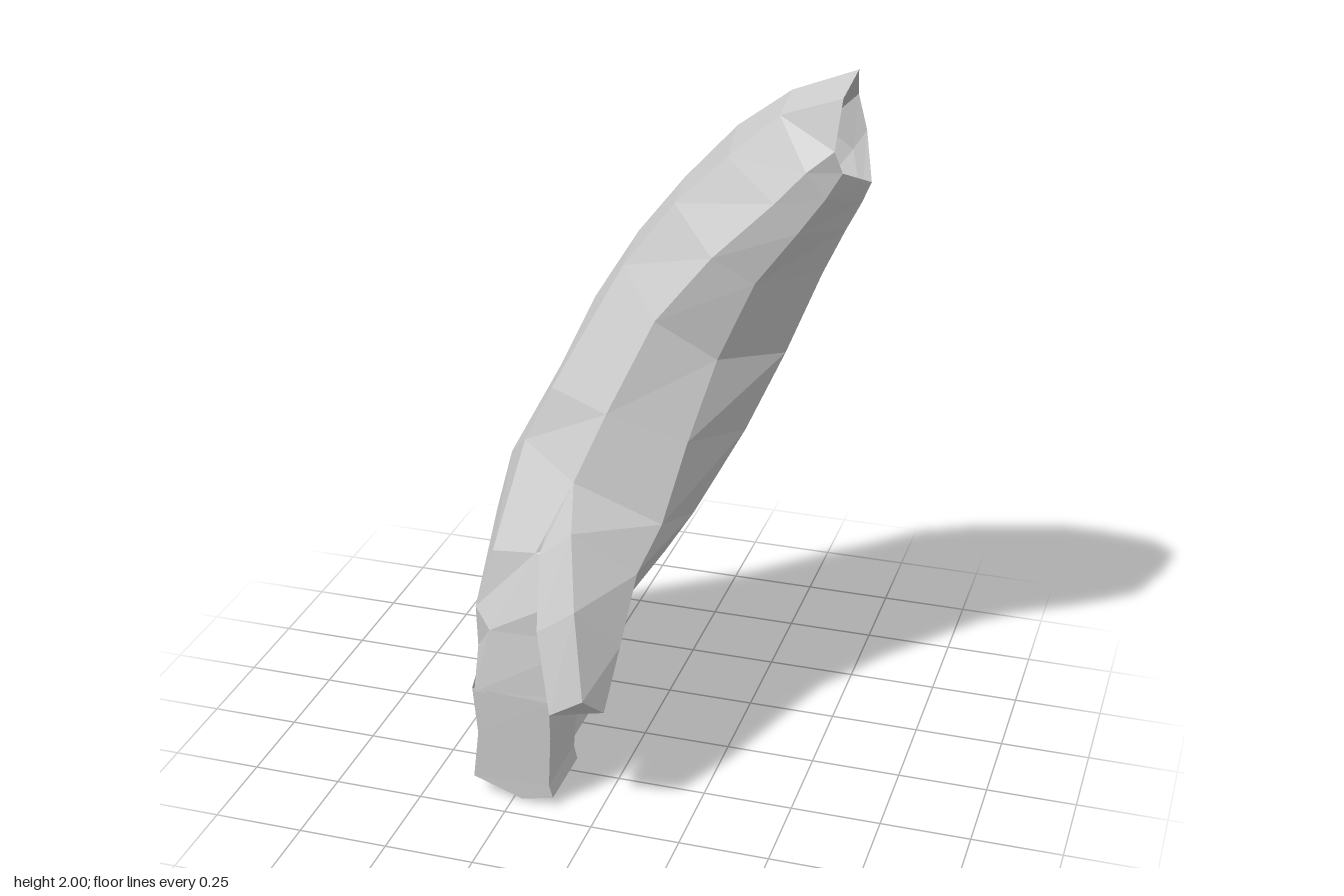
import * as THREE from 'three';

const material = new THREE.MeshStandardMaterial({
  color: 0xcccccc, flatShading: true, side: THREE.DoubleSide,
});

// Skins rings listed from bottom to top (each counterclockwise seen from above).
function loft(name, rings, { capBottom = false } = {}) {
  const n = rings[0].length;
  const index = [];
  for (let r = 0; r < rings.length - 1; r++) {
    for (let j = 0; j < n; j++) {
      const a = r * n + j, b = r * n + (j + 1) % n;
      index.push(a, b, b + n, a, b + n, a + n);
    }
  }
  for (let j = 1; capBottom && j < n - 1; j++) index.push(0, j + 1, j);
  const geometry = new THREE.BufferGeometry();
  geometry.setAttribute('position', new THREE.Float32BufferAttribute(rings.flat(2), 3));
  geometry.setIndex(index);
  geometry.computeVertexNormals();
  const mesh = new THREE.Mesh(geometry, material);
  mesh.name = name;
  return mesh;
}

// Ring order: front, front inner, inner, back inner, back, outer back, outer front
const wrist = [
  [-0.13, 0.9, 0.23], [0.1, 0.78, 0.17], [0.14, 0.74, 0], [0, 0.76, -0.43],
  [-0.2, 0.88, -0.49], [-0.36, 0.98, -0.33], [-0.37, 0.87, -0.05],
];

const forearmRings = [
  [[-0.06, 1.08, 0.16], [0.15, 1.0, 0.1], [0.26, 0.97, -0.09], [0.13, 1.0, -0.48],
    [-0.11, 1.08, -0.53], [-0.26, 1.2, -0.36], [-0.28, 1.05, -0.03]],
  [[0.05, 1.33, 0.08], [0.21, 1.22, 0.03], [0.36, 1.2, -0.12], [0.22, 1.2, -0.5],
    [-0.02, 1.27, -0.56], [-0.14, 1.4, -0.39], [-0.1, 1.4, -0.12]],
  [[0.2, 1.52, 0.065], [0.31, 1.45, 0.035], [0.46, 1.45, -0.1], [0.33, 1.46, -0.44],
    [0.11, 1.47, -0.53], [0, 1.58, -0.37], [0.05, 1.6, -0.1]],
  [[0.36, 1.68, 0.05], [0.42, 1.6, 0.035], [0.52, 1.58, -0.09], [0.41, 1.62, -0.38],
    [0.27, 1.65, -0.47], [0.17, 1.77, -0.29], [0.2, 1.75, -0.08]],
  [[0.44, 1.77, 0.045], [0.49, 1.7, 0.03], [0.56, 1.66, -0.085], [0.48, 1.72, -0.33],
    [0.38, 1.76, -0.395], [0.34, 1.91, -0.2], [0.34, 1.88, -0.07]],
  [[0.51, 1.83, 0.035], [0.53, 1.77, 0.02], [0.585, 1.72, -0.08], [0.53, 1.8, -0.26],
    [0.5, 1.89, -0.28], [0.53, 2.0, -0.13], [0.52, 1.96, 0]],
];

// Palm, from the knuckles up to the wrist
const palmRings = [
  [[-0.34, 0.35, 0.47], [-0.12, 0.33, 0.4], [-0.18, 0.33, 0], [-0.31, 0.36, -0.42],
    [-0.46, 0.36, -0.45], [-0.59, 0.35, -0.35], [-0.42, 0.35, 0.23]],
  [[-0.31, 0.52, 0.42], [-0.05, 0.48, 0.35], [-0.09, 0.46, 0], [-0.23, 0.46, -0.44],
    [-0.42, 0.48, -0.46], [-0.58, 0.47, -0.36], [-0.42, 0.48, 0.24]],
  [[-0.21, 0.72, 0.32], [0.06, 0.68, 0.29], [0.06, 0.61, 0], [-0.08, 0.62, -0.44],
    [-0.3, 0.67, -0.48], [-0.52, 0.68, -0.34], [-0.36, 0.67, 0.25]],
  wrist,
];

// Thumb, from the tip up to the root: outer, front ridge, inner, back inner, back outer
const thumbRings = [
  [[-0.1, 0.36, 0.54], [0, 0.43, 0.56], [0.04, 0.37, 0.5], [-0.02, 0.33, 0.4], [-0.12, 0.34, 0.43]],
  [[-0.16, 0.56, 0.46], [-0.04, 0.66, 0.5], [0.06, 0.53, 0.42], [0.02, 0.5, 0.35], [-0.13, 0.5, 0.36]],
  [[-0.19, 0.73, 0.35], [-0.09, 0.82, 0.37], [0.07, 0.69, 0.3], [0.03, 0.63, 0.26], [-0.16, 0.62, 0.27]],
  [[-0.18, 0.86, 0.17], [-0.13, 0.9, 0.23], [0.1, 0.78, 0.17], [0.05, 0.74, 0.12], [-0.15, 0.74, 0.12]],
];

// A curled finger; outer, root and tip are [front, back] pairs along the row of knuckles
function finger({ name, outer, inner, tipX, tipY, lift, curl, root, tip }) {
  const stations = [
    // [outer shift, outer y, inner x, inner y, blend from root to tip]
    [curl + 0.14, tipY, tipX, tipY + lift, 1],
    [curl, tipY + 0.05, tipX - 0.01, tipY + lift + 0.04, 0.9],
    [0.01, 0.21, inner, 0.23, 0.4],
    [0, 0.355, inner, 0.345, 0],
  ];
  const rings = stations.map(([shift, yo, xi, yi, t]) => {
    const [zf, zb] = [0, 1].map((i) => THREE.MathUtils.lerp(root[i], tip[i], t));
    return [[outer[0] + shift, yo, zf], [xi, yi, zf], [xi, yi, zb], [outer[1] + shift, yo, zb]];
  });
  return loft(name, rings, { capBottom: true });
}

const fingers = [
  { name: 'indexFinger', outer: [-0.35, -0.405], inner: -0.13, tipX: -0.13, tipY: 0.01, lift: 0.02, curl: -0.01, root: [0.46, 0.21], tip: [0.44, 0.23] },
  { name: 'middleFinger', outer: [-0.42, -0.48], inner: -0.19, tipX: -0.16, tipY: 0, lift: 0.06, curl: 0.04, root: [0.2, 0], tip: [0.19, -0.01] },
  { name: 'ringFinger', outer: [-0.485, -0.545], inner: -0.25, tipX: -0.21, tipY: 0.02, lift: 0.07, curl: 0.06, root: [-0.01, -0.21], tip: [-0.03, -0.22] },
  { name: 'littleFinger', outer: [-0.555, -0.52], inner: -0.32, tipX: -0.27, tipY: 0.1, lift: 0.06, curl: 0.06, root: [-0.22, -0.43], tip: [-0.23, -0.41] },
];

export function createModel() {
  const model = new THREE.Group();
  model.name = 'forearmAndHand';

  // Forearm is left open at the elbow
  model.add(loft('forearm', [wrist, ...forearmRings]));

  const hand = new THREE.Group();
  hand.name = 'hand';
  hand.add(loft('palm', palmRings, { capBottom: true }));
  hand.add(loft('thumb', thumbRings, { capBottom: true }));
  fingers.forEach((f) => hand.add(finger(f)));
  model.add(hand);

  return model;
}
